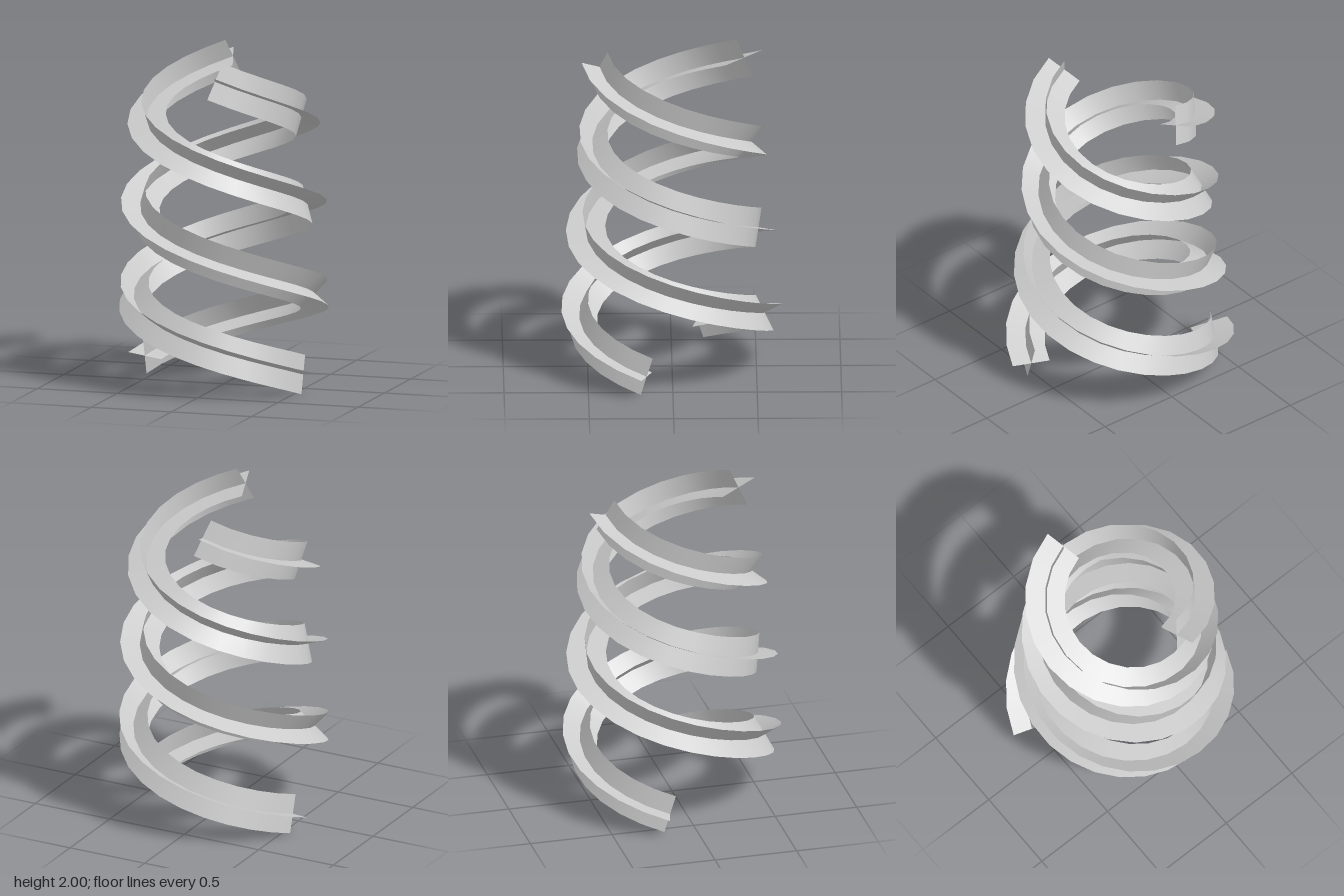
import * as THREE from 'three';

const SEGMENTS = 40;
const HALF_WIDTH = 0.118;

// Rising spiral that narrows slightly toward the top
class TaperedHelix extends THREE.Curve {
  constructor(startAngle) {
    super();
    this.startAngle = startAngle;
  }
  getPoint(t, target = new THREE.Vector3()) {
    const angle = this.startAngle + THREE.MathUtils.degToRad(603) * t;
    const r = THREE.MathUtils.lerp(0.567, 0.438, t);
    const y = THREE.MathUtils.lerp(0.112, 1.894, t);
    return target.set(r * Math.cos(angle), y, r * Math.sin(angle));
  }
}

// Flat band swept along a curve, spread to both sides in the given directions
function ribbonGeometry(curve, directions) {
  const positions = [], indices = [];
  for (let i = 0; i <= SEGMENTS; i++) {
    const p = curve.getPointAt(i / SEGMENTS);
    for (const side of [-1, 1]) {
      const v = p.clone().addScaledVector(directions[i], side * HALF_WIDTH);
      positions.push(v.x, v.y, v.z);
    }
    if (i < SEGMENTS) {
      const a = i * 2;
      indices.push(a, a + 1, a + 2, a + 1, a + 3, a + 2);
    }
  }
  const g = new THREE.BufferGeometry();
  g.setAttribute('position', new THREE.Float32BufferAttribute(positions, 3));
  g.setIndex(indices);
  g.computeVertexNormals();
  return g;
}

export function createModel() {
  const model = new THREE.Group();
  model.name = 'doubleHelix';
  const material = new THREE.MeshStandardMaterial({ color: 0xcccccc, side: THREE.DoubleSide });

  // Two opposite strands, each a pair of ribbons crossing at right angles
  const start = THREE.MathUtils.degToRad(15.9);
  [['leftStrand', start], ['rightStrand', start + Math.PI]].forEach(([name, angle]) => {
    const curve = new TaperedHelix(angle);
    const frames = curve.computeFrenetFrames(SEGMENTS, false);
    const strand = new THREE.Group();
    strand.name = name;

    const flat = new THREE.Mesh(ribbonGeometry(curve, frames.normals), material);
    flat.name = 'flatRibbon';
    const upright = new THREE.Mesh(ribbonGeometry(curve, frames.binormals), material);
    upright.name = 'uprightRibbon';

    strand.add(flat, upright);
    model.add(strand);
  });
  return model;
}
